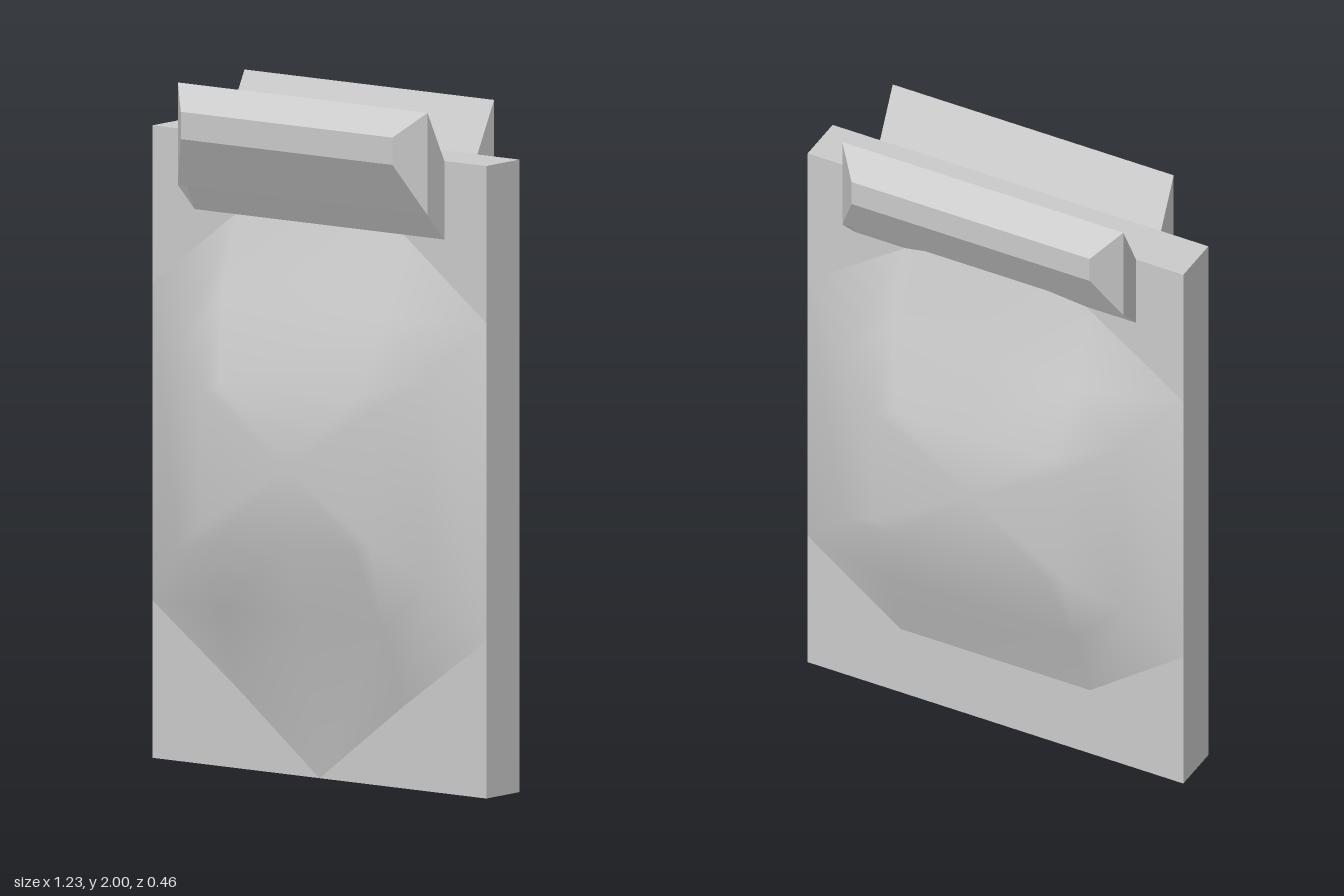
import * as THREE from 'three';

const mat = new THREE.MeshStandardMaterial({ color: 0xcccccc });
const flat = new THREE.MeshStandardMaterial({ color: 0xcccccc, flatShading: true });
const H = 1.85, T = 0.077;

function mesh(name, positions, index, material) {
  const g = new THREE.BufferGeometry();
  g.setAttribute('position', new THREE.Float32BufferAttribute(positions, 3));
  g.setIndex(index);
  g.computeVertexNormals();
  const m = new THREE.Mesh(g, material);
  m.name = name;
  return m;
}

// Padded face: three contours rising to a flat plateau
function makeBulge(name) {
  const contour = (w, cut, top, topSide, lowSide, low, tip) => [
    [w, topSide], [cut, top], [-cut, top], [-w, topSide],
    [-w, lowSide], [-cut, low], [0, tip], [cut, low], [w, lowSide],
  ];
  const rings = [
    [T, contour(0.615, 0.31, 1.62, 1.39, 0.46, 0.24, 0)],
    [0.155, contour(0.46, 0.3, 1.385, 1.22, 0.63, 0.47, 0.47)],
    [0.23, contour(0.31, 0.25, 1.15, 1.12, 0.73, 0.7, 0.7)],
  ];
  const n = 9, pos = [], idx = [];
  for (const [z, pts] of rings) for (const [x, y] of pts) pos.push(x, y, z);
  for (let r = 0; r < 2; r++) {
    for (let i = 0; i < n; i++) {
      const a = r * n + i, b = r * n + (i + 1) % n;
      idx.push(a, b, b + n, a, b + n, a + n);
    }
  }
  const centre = pos.length / 3;
  pos.push(0, 0.925, 0.23);
  for (let i = 0; i < n; i++) idx.push(2 * n + i, 2 * n + (i + 1) % n, centre);
  return mesh(name, pos, idx, mat);
}

// Flared clip jaw: one section swept across x, with bevelled outer ends
function makeJaw(name) {
  const section = [ // half width, y, z
    [0.46, 1.85, T], [0.46, 2, 0.155], [0.39, 1.93, 0.23], [0.39, 1.85, 0.23],
    [0.46, 1.7, 0.155], [0.46, 1.7, 0.118], [0.46, 1.62, T],
  ];
  const n = section.length, pos = [], idx = [];
  for (const s of [1, -1]) for (const [x, y, z] of section) pos.push(s * x, y, z);
  for (let i = 0; i < n; i++) {
    const j = (i + 1) % n;
    idx.push(i, i + n, j, j, i + n, j + n);
  }
  for (const [a, b, c] of [[4, 5, 6], [4, 6, 0], [4, 0, 1], [1, 2, 3], [1, 3, 4]]) {
    idx.push(a, b, c, a + n, c + n, b + n);
  }
  return mesh(name, pos, idx, flat);
}

export function createModel() {
  const group = new THREE.Group();
  group.name = 'clippedPad';

  // Core board
  const board = new THREE.Mesh(new THREE.BoxGeometry(1.23, H, 2 * T), mat);
  board.name = 'board';
  board.position.y = H / 2;
  group.add(board);

  // Padding on both faces; the back one is turned end over end
  group.add(makeBulge('frontPadding'));
  const back = makeBulge('backPadding');
  back.rotation.x = Math.PI;
  back.position.y = H;
  group.add(back);

  // Clip jaws on both faces
  group.add(makeJaw('frontClip'));
  const backJaw = makeJaw('backClip');
  backJaw.rotation.y = Math.PI;
  group.add(backJaw);

  return group;
}
